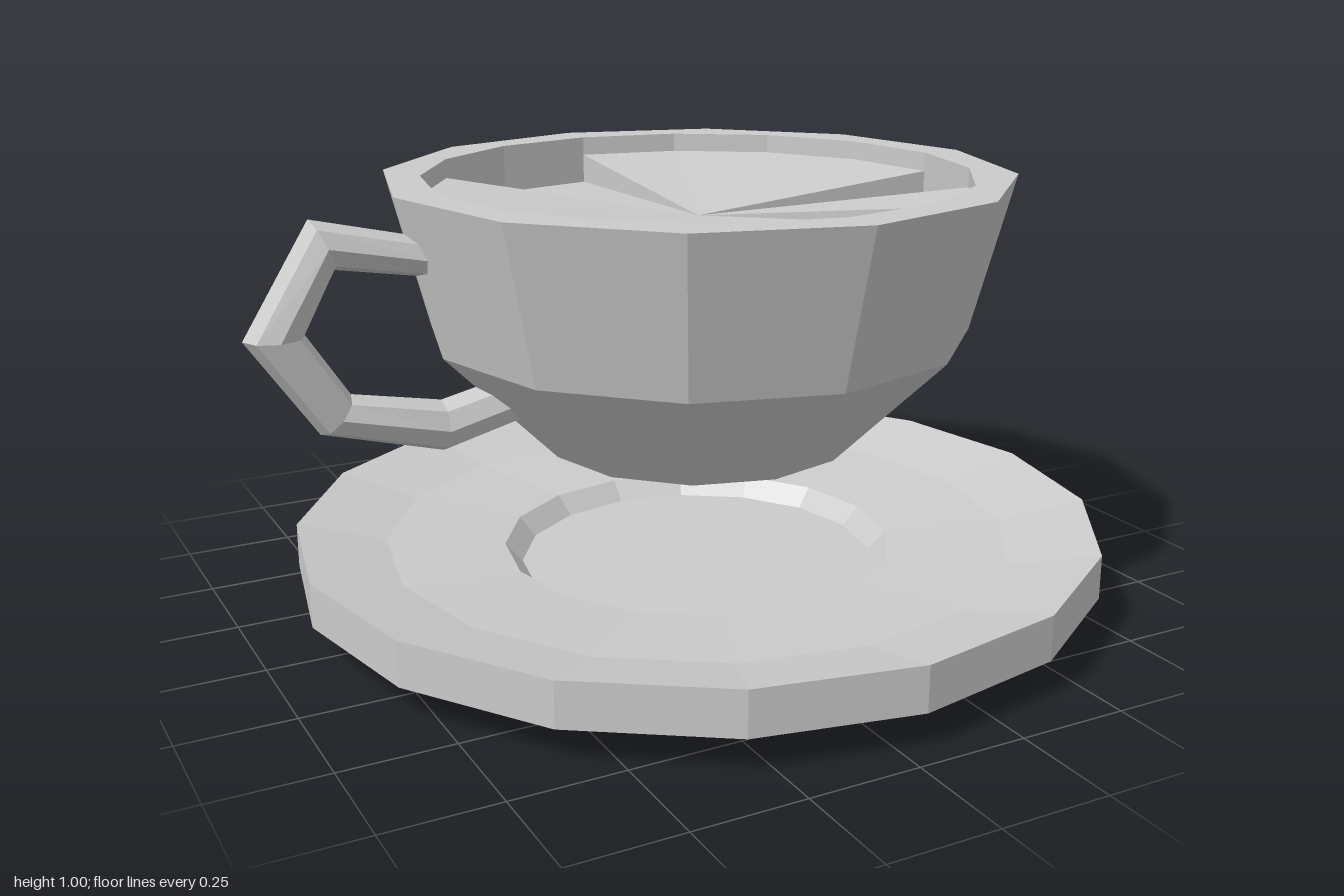
import * as THREE from 'three';

const CENTRE_X = 0.053;

const material = (side = THREE.FrontSide) =>
  new THREE.MeshStandardMaterial({ color: 0xcccccc, flatShading: true, side });

function addMesh(group, name, geometry, side) {
  const mesh = new THREE.Mesh(geometry, material(side));
  mesh.name = name;
  group.add(mesh);
  return mesh;
}

const lathe = (profile, sides) =>
  new THREE.LatheGeometry(profile.map(([r, y]) => new THREE.Vector2(r, y)), sides);

const polygon = (radius, sides) =>
  Array.from({ length: sides }, (_, i) => {
    const a = (i / sides) * Math.PI * 2;
    return new THREE.Vector2(radius * Math.cos(a), radius * Math.sin(a));
  });

function fromTriangles(positions) {
  const geometry = new THREE.BufferGeometry();
  geometry.setAttribute('position', new THREE.Float32BufferAttribute(positions, 3));
  geometry.computeVertexNormals();
  return geometry;
}

// Upright wall below the rim, then a shallow 16-sided fan with a few sunk sectors
function hollowGeometry(radius, top) {
  const sides = 16, sunk = [4, 5, 13, 15];
  const centre = [0, 0.9, 0];
  const positions = [];
  const tri = (...corners) => corners.forEach((c) => positions.push(...c));
  const outline = polygon(radius, sides);
  const at = (i, y) => [outline[i].x, y, -outline[i].y];
  const edgeHeight = (i) => (sunk.includes(i) ? 0.885 : 0.955);
  for (let i = 0; i < sides; i++) {
    const j = (i + 1) % sides;
    const y = edgeHeight(i), nextY = edgeHeight(j);
    tri(centre, at(i, y), at(j, y));
    tri(at(i, y), at(i, top), at(j, top));
    tri(at(i, y), at(j, top), at(j, y));
    // Upright step where a sunk sector meets a raised one
    if (y !== nextY) tri(centre, at(j, y), at(j, nextY));
  }
  return fromTriangles(positions);
}

// Octagonal tube swept through pairs of outer and inner outline points
function handleGeometry(pairs, halfDepth) {
  const sides = 8;
  const rings = pairs.map(([ox, oy, ix, iy]) =>
    Array.from({ length: sides }, (_, k) => {
      const a = (k / sides) * Math.PI * 2;
      const c = Math.cos(a) / 2;
      return [
        (ox + ix) / 2 + (ox - ix) * c,
        (oy + iy) / 2 + (oy - iy) * c,
        halfDepth * Math.sin(a),
      ];
    }));
  const positions = [];
  for (let i = 0; i < rings.length - 1; i++) {
    for (let k = 0; k < sides; k++) {
      const n = (k + 1) % sides;
      const a = rings[i][k], b = rings[i + 1][k], c = rings[i + 1][n], d = rings[i][n];
      positions.push(...a, ...b, ...d, ...b, ...c, ...d);
    }
  }
  return fromTriangles(positions);
}

export function createModel() {
  const model = new THREE.Group();
  model.name = 'cupAndSaucer';

  // Saucer: dished top with a sunken well
  const saucer = addMesh(model, 'saucer', lathe([
    [0, 0], [0.57, 0], [0.947, 0.077], [0.947, 0.18],
    [0.74, 0.135], [0.46, 0.115], [0.42, 0.07], [0, 0.07],
  ], 16));
  saucer.position.x = CENTRE_X;

  // Cup floating above the saucer
  const cup = new THREE.Group();
  cup.name = 'cup';
  cup.position.x = CENTRE_X;
  model.add(cup);
  addMesh(cup, 'cupBody', lathe([
    [0, 0.335], [0.21, 0.335], [0.36, 0.375], [0.625, 0.64], [0.72, 1],
  ], 12));

  // Flat rim: 12-sided outside, 16-sided opening
  const rimShape = new THREE.Shape(polygon(0.72, 12));
  rimShape.holes.push(new THREE.Path(polygon(0.625, 16)));
  const rim = new THREE.ShapeGeometry(rimShape).rotateX(-Math.PI / 2).translate(0, 1, 0);
  addMesh(cup, 'cupRim', rim);
  addMesh(cup, 'cupHollow', hollowGeometry(0.625, 1), THREE.DoubleSide);

  // Handle on the right, ends buried in the cup wall
  addMesh(model, 'handle', handleGeometry([
    [-0.6, 0.91, -0.6, 0.825],
    [-0.85, 0.97, -0.8, 0.86],
    [-1.0, 0.73, -0.87, 0.73],
    [-0.85, 0.51, -0.78, 0.59],
    [-0.58, 0.435, -0.58, 0.55],
    [-0.38, 0.485, -0.42, 0.585],
  ], 0.058));

  return model;
}
